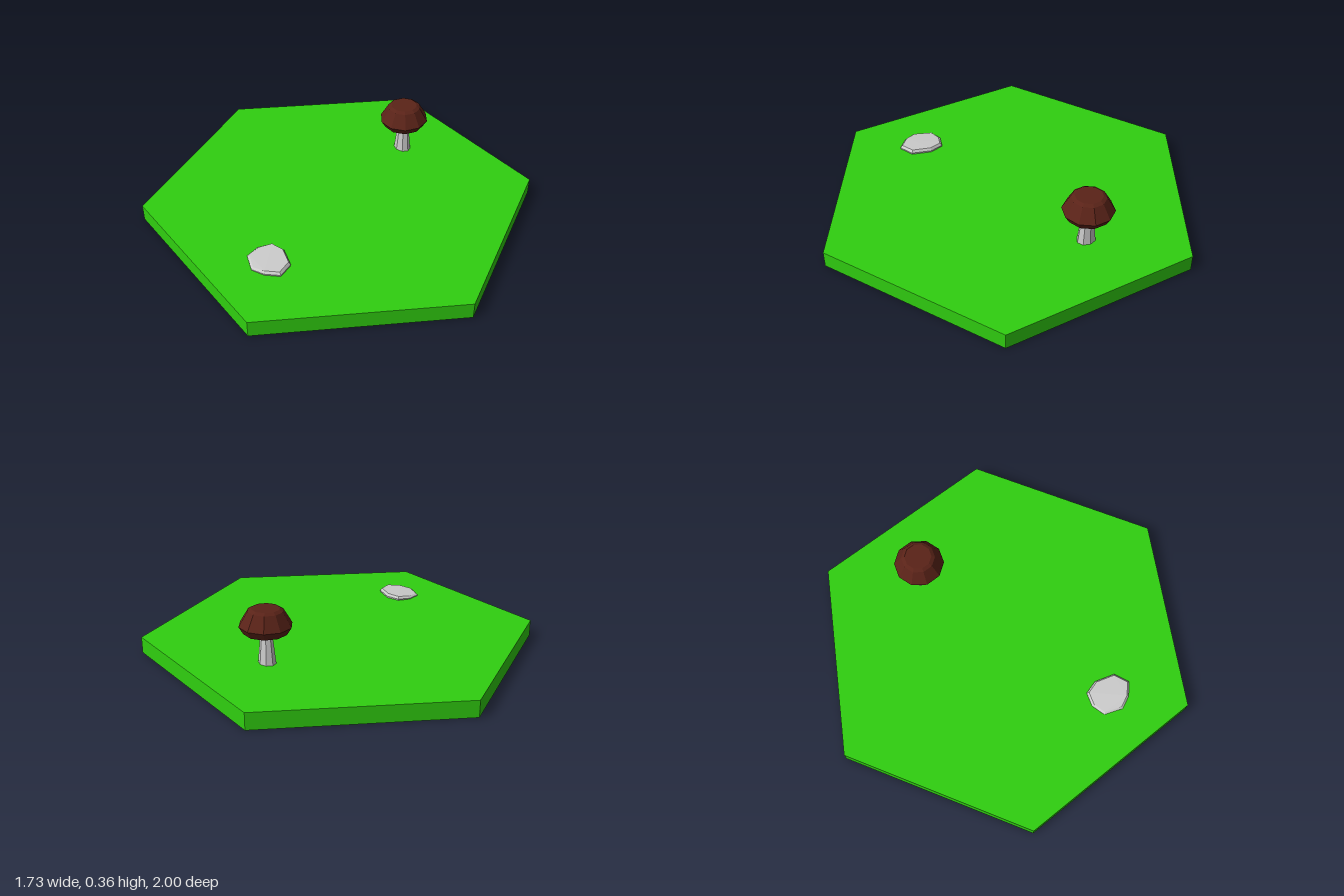
import * as THREE from 'three';
import { ConvexGeometry } from 'three/addons/geometries/ConvexGeometry.js';

const GROUND_Y = 0.083;

function part(name, geometry, color, parent) {
  const material = new THREE.MeshStandardMaterial({ color, flatShading: true });
  const mesh = new THREE.Mesh(geometry, material);
  mesh.name = name;
  parent.add(mesh);
  return mesh;
}

export function createModel() {
  const model = new THREE.Group();
  model.name = 'hexTile';

  // Hexagonal grass slab with corners on the z axis
  const slab = part('grassSlab', new THREE.CylinderGeometry(1, 1, GROUND_Y, 6), 0x30cf10, model);
  slab.position.y = GROUND_Y / 2;

  // Mushroom: tapered oval stem under a faceted cap
  const mushroom = new THREE.Group();
  mushroom.name = 'mushroom';
  mushroom.position.set(0.522, GROUND_Y, -0.13);
  model.add(mushroom);

  const stem = part('mushroomStem', new THREE.CylinderGeometry(0.027, 0.045, 0.17, 8), 0xcccccc, mushroom);
  stem.position.y = 0.085;
  stem.scale.set(0.88, 1, 1.1);

  const capProfile = [[0, 0], [0.104, 0], [0.127, 0.037], [0.085, 0.108], [0.068, 0.118], [0, 0.118]]
    .map(([r, y]) => new THREE.Vector2(r, y));
  const cap = part('mushroomCap', new THREE.LatheGeometry(capProfile, 10), 0x5a2318, mushroom);
  cap.position.set(0.003, 0.153, 0);
  cap.rotation.z = 0.025;

  // Flat stone: outline corners as x, z and height of the upper rim
  const outline = [
    [-0.57, 0.118, 0.015], [-0.502, 0.14, 0.02], [-0.482, 0.212, 0.022], [-0.513, 0.314, 0.022],
    [-0.59, 0.348, 0.02], [-0.647, 0.294, 0.019], [-0.676, 0.23, 0.013], [-0.642, 0.138, 0.012],
  ];
  const centre = [-0.578, 0.228];
  const inset = (v, c, k) => c + (v - c) * k;
  const points = outline.flatMap(([x, z, h]) => [
    new THREE.Vector3(inset(x, centre[0], 0.97), GROUND_Y - 0.01, inset(z, centre[1], 0.97)),
    new THREE.Vector3(x, GROUND_Y + h * 0.4, z),
    new THREE.Vector3(inset(x, centre[0], 0.9), GROUND_Y + h, inset(z, centre[1], 0.9)),
  ]);
  part('flatStone', new ConvexGeometry(points), 0xcccccc, model);

  return model;
}
